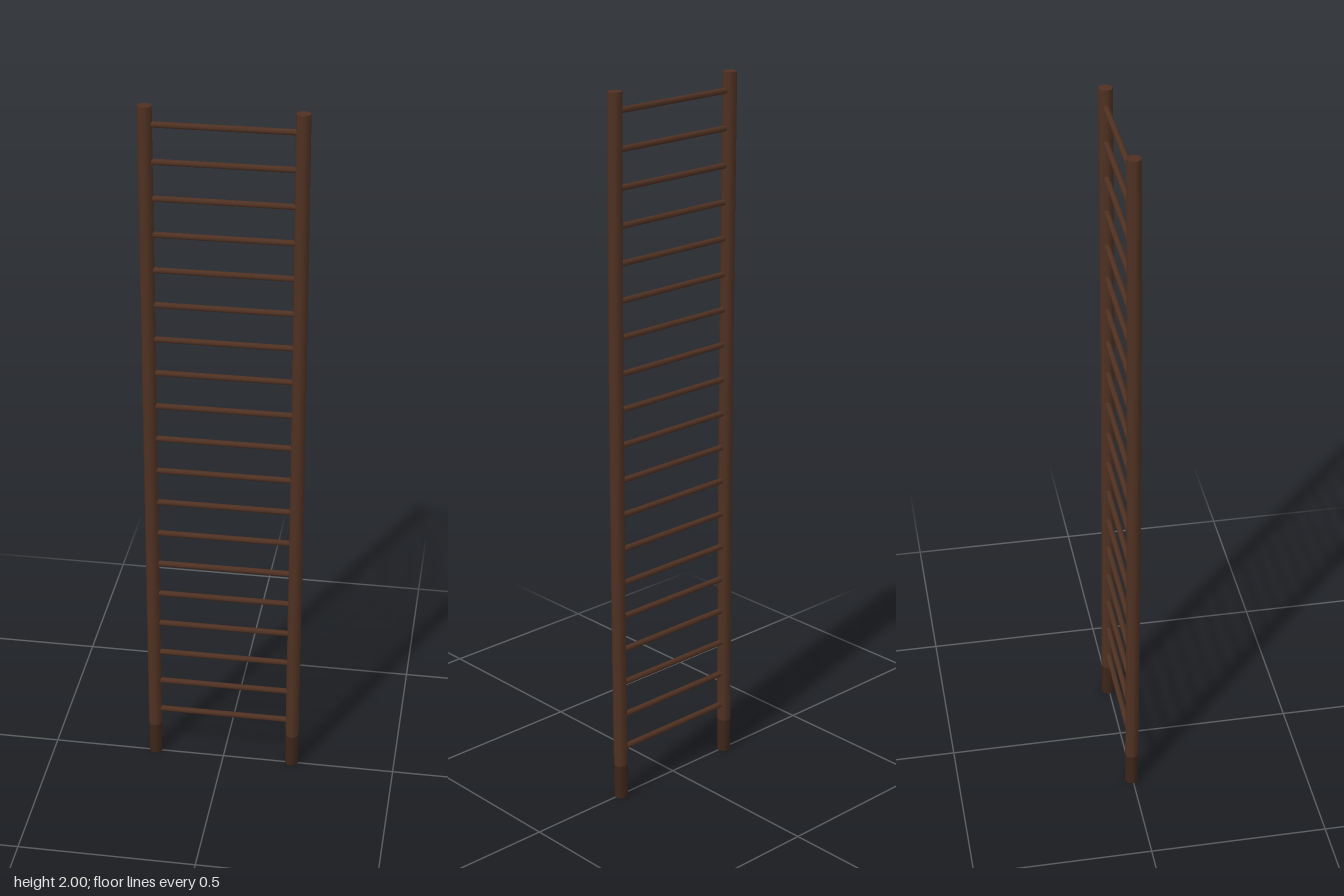
import * as THREE from 'three';

const HEIGHT = 2, SPREAD = 0.202, STAIN = 0.1;

// Gentle bow of the poles, greatest near mid height
const bow = (y) => Math.sin((Math.PI * y) / HEIGHT) * 0.003;

// Stretch of a slightly bowed eight-sided pole between two heights
function poleSection(name, y0, y1, steps, bowX, material) {
  const geo = new THREE.CylinderGeometry(0.0195, 0.0195, y1 - y0, 8, steps);
  geo.translate(0, (y0 + y1) / 2, 0);
  const p = geo.attributes.position;
  for (let i = 0; i < p.count; i++) {
    const b = bow(p.getY(i));
    p.setX(i, p.getX(i) + b * bowX);
    p.setZ(i, p.getZ(i) + b);
  }
  const mesh = new THREE.Mesh(geo, material);
  mesh.name = name;
  return mesh;
}

export function createModel() {
  const wood = new THREE.MeshStandardMaterial({ color: 0x4f3122 });
  wood.name = 'brown wood';
  const darkWood = new THREE.MeshStandardMaterial({ color: 0x3c251a });
  darkWood.name = 'dark wood';

  const model = new THREE.Group();
  model.name = 'ladder';

  // Two upright poles with darker feet
  for (const [side, name, bowX] of [[1, 'leftPole', 0.6], [-1, 'rightPole', 0.2]]) {
    const pole = new THREE.Group();
    pole.name = name;
    pole.position.set(side * SPREAD, 0, -0.003);
    pole.add(
      poleSection('poleFoot', 0, STAIN, 1, bowX, darkWood),
      poleSection('poleShaft', STAIN, HEIGHT, 10, bowX, wood)
    );
    model.add(pole);
  }

  // Evenly spaced round rungs
  const rungGeo = new THREE.CylinderGeometry(0.0085, 0.0085, SPREAD * 2 - 0.01, 8);
  rungGeo.rotateZ(Math.PI / 2);
  for (let i = 0; i < 19; i++) {
    const rung = new THREE.Mesh(rungGeo, wood);
    const y = 0.15 + i * 0.1;
    rung.name = 'rung';
    rung.position.set(0, y, -0.004 + bow(y));
    model.add(rung);
  }
  return model;
}
